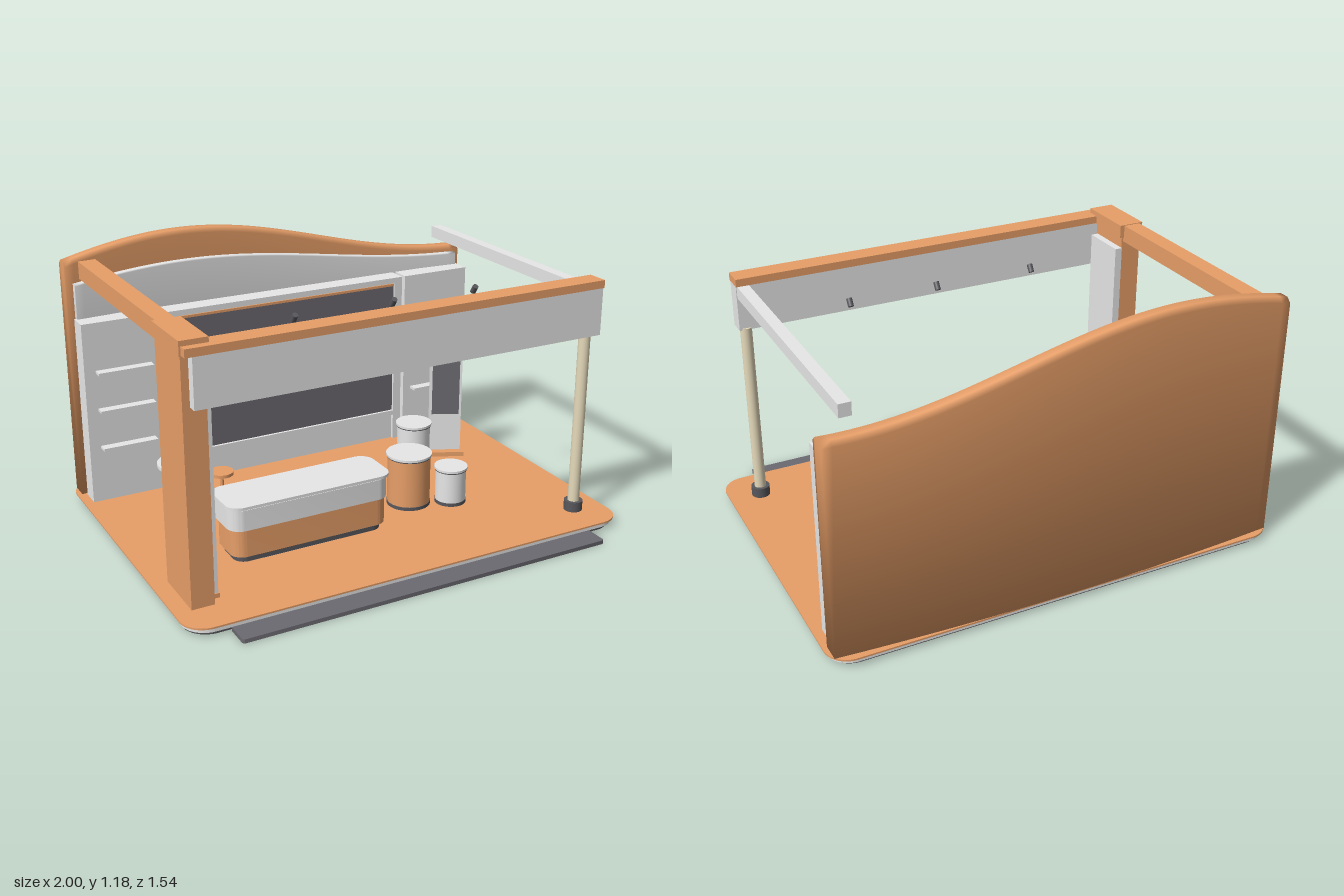
import * as THREE from 'three';
import { toCreasedNormals } from 'three/addons/utils/BufferGeometryUtils.js';

const mat = (name, color) => {
  const m = new THREE.MeshStandardMaterial({ color });
  m.name = name;
  return m;
};

export function createModel() {
  const orange = mat('orange', 0xe9a069);
  const light = mat('lightGrey', 0xeeeeee);
  const screenGrey = mat('screenGrey', 0x6c6a71);
  const dark = mat('darkGrey', 0x58585d);
  const black = mat('undersideGrey', 0x56565a);
  const beige = mat('beige', 0xe6dabb);

  const root = new THREE.Group();
  root.name = 'exhibitionStand';
  const add = (name, geo, material, x = 0, y = 0, z = 0, parent = root) => {
    const mesh = new THREE.Mesh(geo, material);
    mesh.name = name;
    mesh.position.set(x, y, z);
    parent.add(mesh);
    return mesh;
  };
  // Box given by its limits on each axis
  const box = (name, m, x0, x1, y0, y1, z0, z1, parent) =>
    add(name, new THREE.BoxGeometry(x1 - x0, y1 - y0, z1 - z0), m,
      (x0 + x1) / 2, (y0 + y1) / 2, (z0 + z1) / 2, parent);
  // Upright cylinder standing from y0 to y1
  const cyl = (name, m, r, y0, y1, x, z, parent) =>
    add(name, new THREE.CylinderGeometry(r, r, y1 - y0, 40), m, x, (y0 + y1) / 2, z, parent);
  // Horizontal slab with rounded corners
  const slab = (name, m, x0, x1, y0, y1, z0, z1, r) => {
    const w = (x1 - x0) / 2, d = (z1 - z0) / 2;
    const s = new THREE.Shape();
    s.absarc(w - r, d - r, r, 0, Math.PI / 2);
    s.absarc(r - w, d - r, r, Math.PI / 2, Math.PI);
    s.absarc(r - w, r - d, r, Math.PI, Math.PI * 1.5);
    s.absarc(w - r, r - d, r, Math.PI * 1.5, Math.PI * 2);
    const g = new THREE.ExtrudeGeometry(s, { depth: y1 - y0, bevelEnabled: false, curveSegments: 10 });
    g.rotateX(-Math.PI / 2);
    return add(name, toCreasedNormals(g, 0.6), m, (x0 + x1) / 2, y0, (z0 + z1) / 2);
  };

  // Wall bowed in plan with a wave along its top edge, softly rounded at top and bottom
  const curvedWall = (halfW, y0, topMid, topAmp, zBack, thick, b) => {
    const N = 48, pos = [], idx = [];
    for (let i = 0; i <= N; i++) {
      const x = -halfW + 2 * halfW * i / N;
      const t = topMid + topAmp * Math.cos((x + 0.45) / 1.4 * Math.PI);
      const zb = zBack + 0.04 * x * x, zf = zb + thick;
      [[y0, zf], [t - b, zf], [t, zf - b], [t, zb + b], [t - b, zb], [y0, zb]]
        .forEach(([y, z]) => pos.push(x, y, z));
    }
    for (let i = 0; i < N; i++) for (let j = 0; j < 6; j++) {
      const k = (j + 1) % 6, a = i * 6, c = a + 6;
      idx.push(a + j, c + j, c + k, a + j, c + k, a + k);
    }
    for (let j = 1; j < 5; j++) idx.push(0, j, j + 1, N * 6, N * 6 + j + 1, N * 6 + j);
    const g = new THREE.BufferGeometry();
    g.setAttribute('position', new THREE.Float32BufferAttribute(pos, 3));
    g.setIndex(idx);
    g.computeVertexNormals();
    // Bottom edge turns under
    for (let i = 0; i <= N; i++) {
      g.attributes.normal.setXYZ(i * 6, 0, -0.8, 0.6);
      g.attributes.normal.setXYZ(i * 6 + 5, 0, -0.8, -0.6);
    }
    return g;
  };

  // Platform and step
  slab('platformBase', black, -0.98, 0.98, 0, 0.016, -0.74, 0.655, 0.1);
  slab('platformRim', light, -0.99, 0.99, 0.016, 0.034, -0.755, 0.668, 0.1);
  slab('floor', orange, -1, 1, 0.034, 0.041, -0.765, 0.675, 0.1);
  slab('frontStep', screenGrey, -0.83, 0.825, 0, 0.017, 0.66, 0.77, 0.012);

  // Back wall with its light inner lining
  add('backWall', curvedWall(0.98, 0.04, 1.065, 0.115, -0.768, 0.08, 0.02), orange);
  add('wallLining', curvedWall(0.95, 0.04, 0.985, 0.065, -0.7, 0.042, 0.006), light);

  // Shelf panels, mirrored
  for (const s of [-1, 1]) {
    const side = new THREE.Group();
    side.name = s < 0 ? 'rightShelfPanel' : 'leftShelfPanel';
    root.add(side);
    const panel = box('shelfPanel', light, 0.62, 0.96, 0.041, 0.862, -0.635, -0.545, side);
    panel.position.x *= s;
    for (const y of [0.295, 0.47, 0.643]) {
      const shelf = box('shelf', light, 0.66, 0.91, y - 0.006, y + 0.006, -0.546, -0.502, side);
      shelf.position.x *= s;
    }
  }

  // Display wall
  box('displayFrame', light, -0.607, 0.607, 0.041, 0.86, -0.64, -0.565);
  for (const s of [-1, 1])
    box('frameStile', light, s * 0.587 - 0.02, s * 0.587 + 0.02, 0.041, 0.86, -0.566, -0.55);
  box('frameRail', light, -0.567, 0.567, 0.834, 0.86, -0.566, -0.55);
  box('screen', screenGrey, -0.565, 0.565, 0.19, 0.822, -0.566, -0.558);
  box('screenStrip', orange, -0.56, 0.56, 0.822, 0.833, -0.566, -0.546);
  box('lowerLedge', light, -0.567, 0.567, 0.165, 0.188, -0.566, -0.55);

  // Corner tower and side beam
  box('tower', orange, -0.93, -0.835, 0.041, 1.09, 0.275, 0.525);
  box('towerCap', orange, -0.937, -0.823, 1.05, 1.108, 0.27, 0.535);
  box('towerFoot', orange, -0.835, -0.797, 0.041, 0.06, 0.27, 0.485);
  box('towerPanel', light, -0.835, -0.802, 0.06, 1.0, 0.27, 0.48);
  box('orangeSideBeam', orange, -0.92, -0.843, 1.03, 1.105, -0.67, 0.275);

  // Front fascia, light side beam and round post
  box('fascia', light, -0.9, 0.893, 0.852, 1.054, 0.49, 0.565);
  box('fasciaTrim', orange, -0.93, 0.895, 1.054, 1.087, 0.478, 0.57);
  box('lightSideBeam', light, 0.84, 0.89, 1.0, 1.054, -0.67, 0.49);
  cyl('post', beige, 0.025, 0.041, 0.86, 0.862, 0.505);
  cyl('postFoot', dark, 0.04, 0.041, 0.085, 0.862, 0.505);

  // Spotlights
  for (const x of [-0.335, 0.11, 0.5]) {
    const lamp = cyl('spotlight', dark, 0.012, 0.995, 1.03, x, 0.215);
    lamp.rotation.x = 0.6;
  }

  // Reception counter
  slab('counterPlinth', dark, -0.63, 0.04, 0.041, 0.07, 0.1, 0.275, 0.05);
  slab('counterBody', orange, -0.647, 0.057, 0.07, 0.19, 0.085, 0.29, 0.055);
  slab('counterUpper', light, -0.66, 0.063, 0.19, 0.28, 0.075, 0.298, 0.06);
  slab('counterGap', dark, -0.655, 0.06, 0.279, 0.285, 0.08, 0.294, 0.055);
  slab('counterTop', light, -0.667, 0.072, 0.284, 0.296, 0.07, 0.303, 0.06);

  // Display drums: x, z, radius, height, body material
  for (const [x, z, r, h, m] of [
    [0.265, 0.105, 0.1, 0.28, orange],
    [0.405, -0.09, 0.08, 0.325, light],
    [0.435, 0.18, 0.073, 0.21, light],
  ]) {
    const drum = new THREE.Group();
    drum.name = 'displayDrum';
    root.add(drum);
    cyl('drumBase', dark, r - 0.004, 0.041, 0.056, x, z, drum);
    cyl('drumBody', m, r - 0.006, 0.056, h - 0.015, x, z, drum);
    cyl('drumGap', dark, r - 0.002, h - 0.015, h - 0.01, x, z, drum);
    cyl('drumTop', light, r, h - 0.01, h, x, z, drum);
  }

  // Table and stools: name, x, z, top radius, height, top material, stem material
  for (const [name, x, z, r, h, m, stem] of [
    ['roundTable', -0.655, -0.21, 0.115, 0.305, light, dark],
    ['lightStool', -0.655, -0.042, 0.052, 0.225, light, dark],
    ['orangeStool', -0.487, -0.21, 0.052, 0.225, orange, orange],
  ]) {
    const seat = new THREE.Group();
    seat.name = name;
    root.add(seat);
    cyl('foot', dark, Math.min(r * 0.8, 0.06), 0.041, 0.049, x, z, seat);
    cyl('stem', stem, 0.008, 0.049, h - 0.012, x, z, seat);
    cyl('top', m, r, h - 0.014, h, x, z, seat);
    if (r < 0.1) {
      const ring = add('footRing', new THREE.TorusGeometry(0.03, 0.004, 8, 28), dark, x, 0.105, z, seat);
      ring.rotation.x = Math.PI / 2;
    }
  }

  // Information kiosk
  const kiosk = new THREE.Group();
  kiosk.name = 'kiosk';
  kiosk.position.set(0.697, 0, -0.285);
  kiosk.rotation.y = -0.46;
  root.add(kiosk);
  box('kioskBase', orange, -0.09, 0.09, 0.041, 0.062, -0.053, 0.053, kiosk);
  box('kioskPanel', light, -0.075, 0.075, 0.062, 0.606, -0.017, 0.017, kiosk);
  box('kioskScreen', screenGrey, -0.064, 0.064, 0.245, 0.58, 0.016, 0.02, kiosk);

  return root;
}
